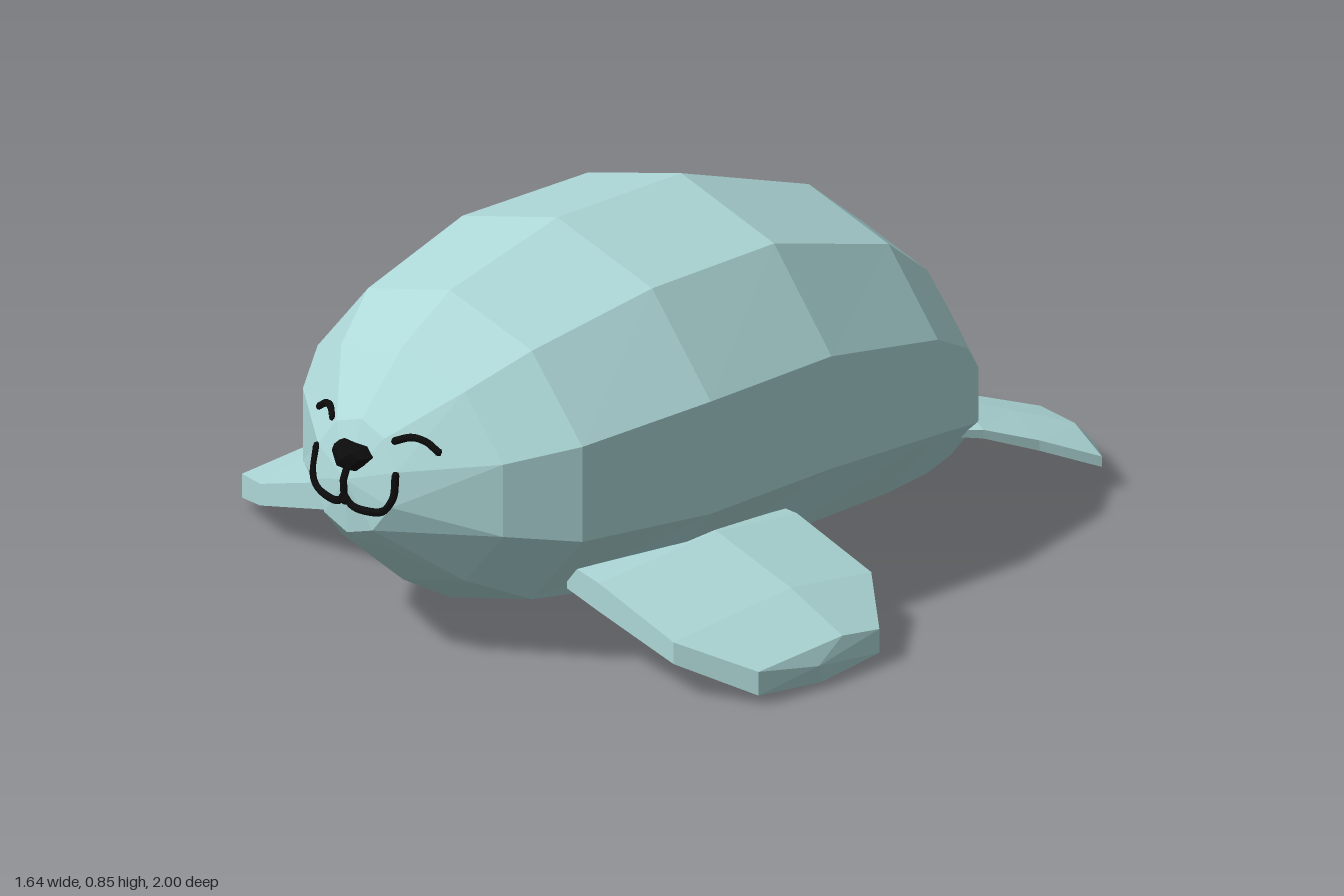
import * as THREE from 'three';

const furMaterial = new THREE.MeshStandardMaterial({ color: 0xaed8d8, flatShading: true });
furMaterial.name = 'paleTeal';
const inkMaterial = new THREE.MeshStandardMaterial({ color: 0x0c0c0c });
inkMaterial.name = 'black';

// Closed skin over equal-length rings of points, each end fanned to a point.
function loft(rings, startTip, endTip) {
  const n = rings[0].length;
  const centre = ring => [0, 1, 2].map(k => ring.reduce((s, p) => s + p[k], 0) / n);
  const first = startTip || centre(rings[0]);
  const last = endTip || centre(rings[rings.length - 1]);
  const tris = [];
  for (let j = 0; j < n; j++) {
    const k = (j + 1) % n;
    tris.push([first, rings[0][k], rings[0][j]]);
    for (let i = 0; i + 1 < rings.length; i++) {
      const a = rings[i], b = rings[i + 1];
      tris.push([a[j], a[k], b[j]], [a[k], b[k], b[j]]);
    }
    const end = rings[rings.length - 1];
    tris.push([end[j], end[k], last]);
  }
  // Turn the skin outward when its signed volume is negative
  let volume = 0;
  const v = p => new THREE.Vector3(...p);
  for (const [a, b, c] of tris) volume += v(a).dot(v(b).cross(v(c)));
  if (volume < 0) tris.forEach(t => t.reverse());
  const geometry = new THREE.BufferGeometry();
  geometry.setAttribute('position', new THREE.Float32BufferAttribute(tris.flat(2), 3));
  geometry.computeVertexNormals();
  return geometry;
}

function add(group, name, geometry, material) {
  const mesh = new THREE.Mesh(geometry, material);
  mesh.name = name;
  group.add(mesh);
  return mesh;
}

// Ten-sided body stations: z, top, bottom, half width, tilt of z
const stations = [
  [0.955, 0.545, 0.295, 0.12, -0.022],
  [0.81, 0.68, 0.14, 0.31, 0],
  [0.67, 0.77, 0.06, 0.41, 0],
  [0.35, 0.85, 0.01, 0.475, 0],
  [-0.02, 0.85, 0.01, 0.465, 0],
  [-0.40, 0.72, 0.01, 0.40, 0],
  [-0.56, 0.59, 0.01, 0.325, 0],
  [-0.69, 0.42, 0.015, 0.225, 0],
];

function bodyGeometry() {
  const rings = stations.map(([z, top, bottom, half, tilt]) =>
    Array.from({ length: 10 }, (_, i) => {
      const a = i * Math.PI / 5;
      return [
        Math.sin(a) * half / Math.sin(Math.PI * 0.4),
        (top + bottom) / 2 + Math.cos(a) * (top - bottom) / 2,
        z + tilt * Math.cos(a),
      ];
    }));
  return loft(rings, [0, 0.42, 0.985], [0, 0.18, -0.76]);
}

// Front flipper sections: x, back z, front z, ridge, upper edge, lower edge, keel
function frontFlipper(side) {
  const rings = [
    [0.30, 0.05, 0.61, 0.24, 0.21, 0.15, 0.12],
    [0.41, 0.03, 0.62, 0.22, 0.195, 0.13, 0.10],
    [0.64, 0.03, 0.62, 0.155, 0.125, 0.075, 0.03],
    [0.80, 0.16, 0.52, 0.09, 0.075, 0.02, 0.0],
  ].map(([x, back, front, ridge, upper, lower, keel]) => [
    [x, upper, back], [x, ridge, 0.27], [x, upper, front],
    [x, lower, front], [x, keel, 0.33], [x, lower, back],
  ].map(([px, y, z]) => [px * side, y, z]));
  return loft(rings, null, [0.82 * side, 0.05, 0.36]);
}

// Rear flipper sections: inner x and z, outer x and z, height, half thickness
function rearFlipper(side) {
  const rings = [
    [0.02, -0.68, 0.24, -0.60, 0.155, 0.02],
    [0.005, -0.765, 0.27, -0.66, 0.145, 0.025],
    [0.045, -0.86, 0.33, -0.77, 0.105, 0.03],
    [0.10, -0.995, 0.41, -0.88, 0.06, 0.03],
  ].map(([ix, iz, ox, oz, y, t]) => {
    const mx = (ix + ox) / 2, mz = (iz + oz) / 2;
    return [
      [ix, y + t * 0.4, iz], [mx, y + t, mz - 0.01], [ox, y + t * 0.5, oz],
      [ox, y - t * 0.3, oz], [mx, y - t * 1.3, mz - 0.03], [ix, y - t * 1.3, iz],
    ].map(([x, py, z]) => [x * side, py, z]);
  });
  return loft(rings, null, [0.27 * side, 0.04, -0.99]);
}

export function createModel() {
  const model = new THREE.Group();
  model.name = 'seal';
  const body = add(model, 'body', bodyGeometry(), furMaterial);

  for (const [side, label] of [[1, 'left'], [-1, 'right']]) {
    add(model, label + 'FrontFlipper', frontFlipper(side), furMaterial);
    add(model, label + 'RearFlipper', rearFlipper(side), furMaterial);
  }

  // Face lines: a curve drawn in x and y, laid onto the front of the body
  const ray = new THREE.Raycaster();
  body.updateMatrixWorld();
  const onFace = (x, y) => {
    ray.set(new THREE.Vector3(x, y, 3), new THREE.Vector3(0, 0, -1));
    const hit = ray.intersectObject(body)[0];
    return new THREE.Vector3(x, y, (hit ? hit.point.z : 0.9) + 0.002);
  };
  const faceLine = (name, points) => {
    const flat = new THREE.CatmullRomCurve3(points.map(([x, y]) => new THREE.Vector3(x, y, 0)));
    const path = new THREE.CatmullRomCurve3(flat.getSpacedPoints(16).map(p => onFace(p.x, p.y)));
    add(model, name, new THREE.TubeGeometry(path, 32, 0.009, 6), inkMaterial);
    // Rounded ends close the stroke
    for (const t of [0, 1]) {
      const end = new THREE.SphereGeometry(0.009, 6, 4);
      end.translate(...path.getPoint(t).toArray());
      add(model, name + 'End', end, inkMaterial);
    }
  };
  for (const [side, label] of [[1, 'left'], [-1, 'right']]) {
    const mirror = points => points.map(([x, y]) => [x * side, y]);
    faceLine(label + 'ClosedEye', mirror([[0.097, 0.52], [0.125, 0.53], [0.155, 0.525], [0.185, 0.507]]));
    faceLine(label + 'Mouth', mirror([
      [0.122, 0.453], [0.122, 0.40], [0.102, 0.37], [0.06, 0.361], [0.018, 0.366], [0, 0.385],
    ]));
  }
  faceLine('muzzleLine', [[0, 0.37], [0, 0.40], [0, 0.45]]);

  // Nose: a faceted pad narrowing toward the front
  const outline = [[-0.058, 0.478], [-0.035, 0.496], [0.035, 0.496], [0.058, 0.478], [0.025, 0.44], [-0.025, 0.44]];
  const noseRings = [[0.94, 1], [0.975, 1], [0.998, 0.7]].map(([z, s]) =>
    outline.map(([x, y]) => [x * s, 0.468 + (y - 0.468) * s, z - Math.abs(x) * 0.25]));
  add(model, 'nose', loft(noseRings, null, [0, 0.468, 1.0]), inkMaterial);

  return model;
}
